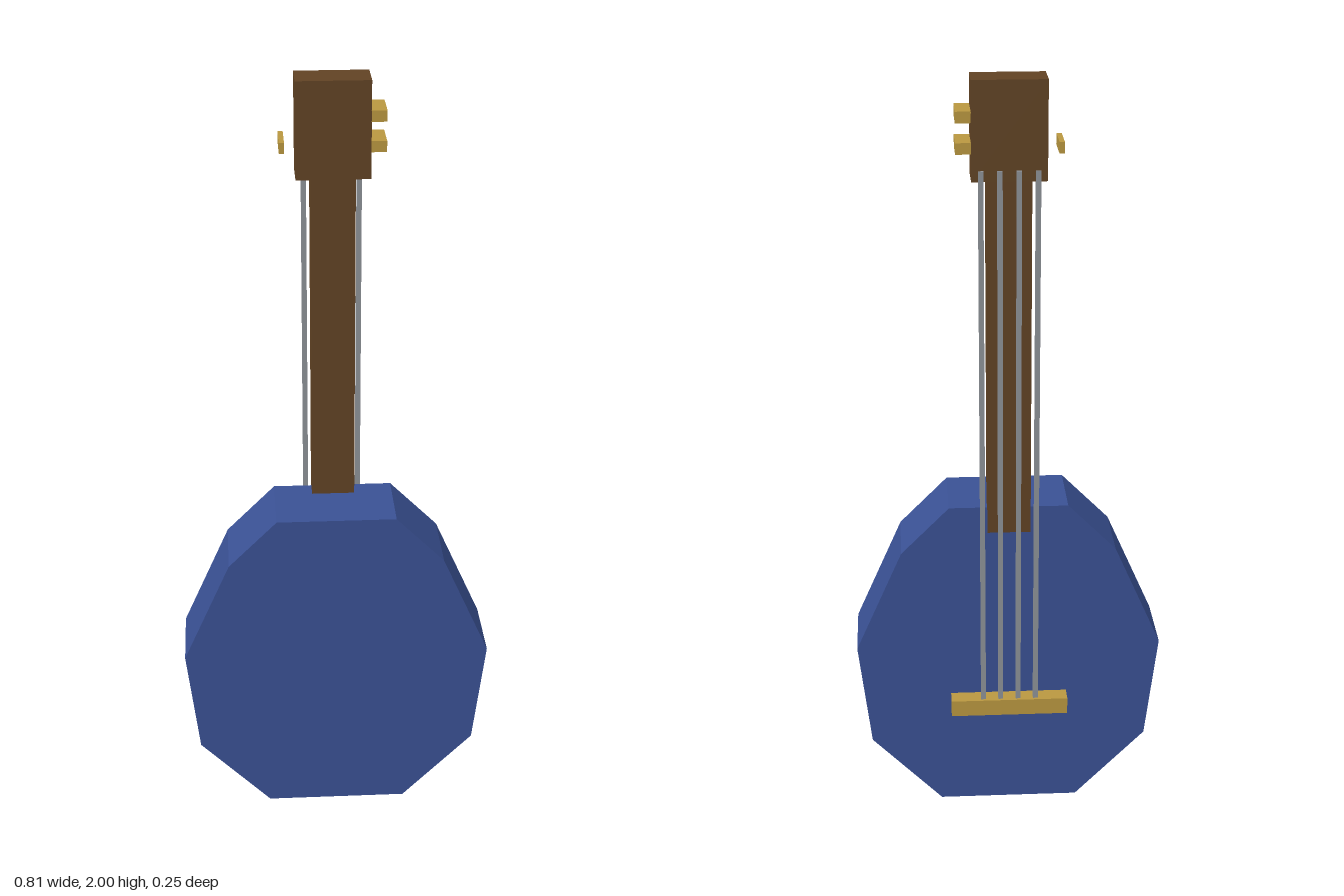
import * as THREE from 'three';

const material = (name, color) => {
  const m = new THREE.MeshStandardMaterial({ color });
  m.name = name;
  return m;
};

export function createModel() {
  const group = new THREE.Group();
  const blue = material('blue body', 0x3a5194);
  const brown = material('brown wood', 0x614324);
  const gold = material('gold fittings', 0xba9840);
  const grey = material('grey strings', 0x8e9298);

  // Box given by its lower and upper corners
  const box = (name, mat, [x0, y0, z0], [x1, y1, z1]) => {
    const mesh = new THREE.Mesh(new THREE.BoxGeometry(x1 - x0, y1 - y0, z1 - z0), mat);
    mesh.position.set((x0 + x1) / 2, (y0 + y1) / 2, (z0 + z1) / 2);
    mesh.name = name;
    group.add(mesh);
  };

  // Ten-sided body, mirrored from its right-hand outline
  const half = [[0.185, 0], [0.372, 0.19], [0.406, 0.472], [0.283, 0.75], [0.156, 0.878]];
  const outline = [...half, ...half.map(([x, y]) => [-x, y]).reverse()];
  const shape = new THREE.Shape(outline.map(([x, y]) => new THREE.Vector2(x, y)));
  const body = new THREE.Mesh(
    new THREE.ExtrudeGeometry(shape, { depth: 0.203, bevelEnabled: false }), blue);
  body.position.z = -0.079;
  body.name = 'body';
  group.add(body);

  // Neck and head
  box('neck', brown, [-0.056, 0.815, -0.1], [0.056, 1.755, -0.03]);
  box('head', brown, [-0.093, 1.753, -0.112], [0.093, 2, -0.017]);

  // Tuning pegs: two on the left, a short one on the right
  for (const y of [1.835, 1.911]) {
    box('leftPeg', gold, [0.092, y - 0.014, -0.112], [0.131, y + 0.014, -0.017]);
  }
  box('rightPeg', gold, [-0.133, 1.821, -0.112], [-0.12, 1.849, -0.017]);

  // Bridge and four strings on the playing side
  box('bridge', gold, [-0.156, 0.284, -0.126], [0.156, 0.329, -0.078]);
  for (const x of [-0.07, -0.0235, 0.0235, 0.07]) {
    box('string', grey, [x - 0.0065, 0.32, -0.118], [x + 0.0065, 1.78, -0.105]);
  }
  return group;
}
